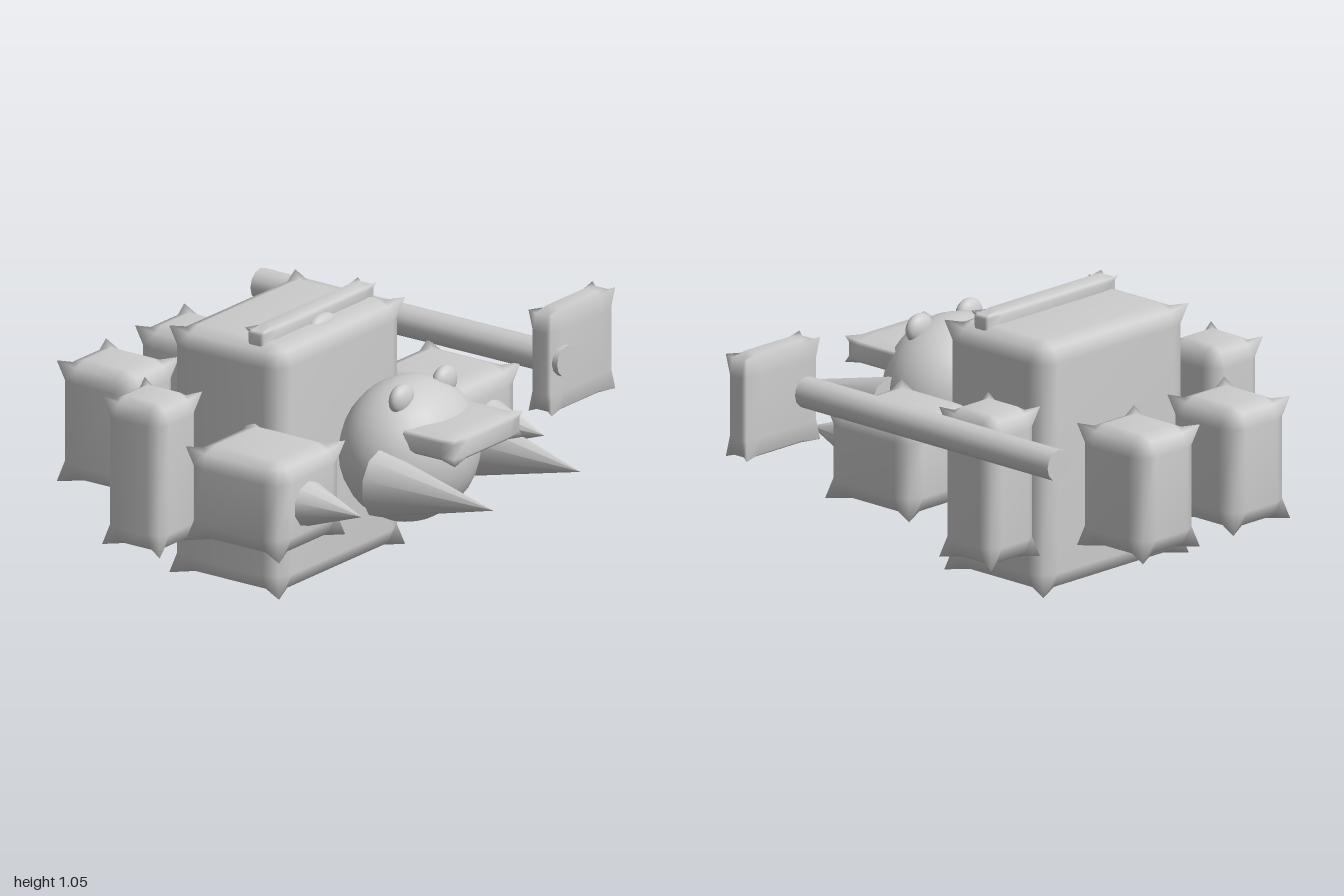
import * as THREE from 'three';
import { mergeVertices } from 'three/addons/utils/BufferGeometryUtils.js';

const grey = new THREE.MeshStandardMaterial({ color: 0xcccccc });
grey.name = 'grey';

// Block with softened edges, pointed corners and smooth shading
function pillowBox(w, h, d) {
  let g = new THREE.BoxGeometry(w, h, d, 3, 3, 3);
  g.deleteAttribute('uv');
  g.deleteAttribute('normal');
  g = mergeVertices(g, 1e-4);
  const half = [w / 2, h / 2, d / 2];
  const small = Math.min(w, h, d);
  const bevel = Math.min(0.022, small * 0.1);
  const pos = g.attributes.position;
  for (let i = 0; i < pos.count; i++) {
    const p = [pos.getX(i), pos.getY(i), pos.getZ(i)];
    const outer = p.map((v, a) => Math.abs(v) > half[a] * 0.9);
    const isEdge = outer.filter(Boolean).length === 2;
    const q = p.map((v, a) => {
      const size = outer[a]
        ? half[a] - (isEdge ? bevel : 0)
        : half[a] - Math.min(0.08, half[a] * 0.45);
      return Math.sign(v) * size;
    });
    pos.setXYZ(i, ...q);
  }
  g.computeVertexNormals();
  return g;
}

export function createModel() {
  const model = new THREE.Group();
  model.name = 'creature';

  function add(name, geometry, x, y, z) {
    const mesh = new THREE.Mesh(geometry, grey);
    mesh.name = name;
    mesh.position.set(x, y, z);
    model.add(mesh);
    return mesh;
  }

  // Block given by its low and high limits on each axis
  function block(name, [x0, x1], [y0, y1], [z0, z1]) {
    return add(name, pillowBox(x1 - x0, y1 - y0, z1 - z0),
      (x0 + x1) / 2, (y0 + y1) / 2, (z0 + z1) / 2);
  }

  function ball(name, x, y, z, rx, ry, rz) {
    add(name, new THREE.SphereGeometry(1, 24, 16), x, y, z).scale.set(rx, ry, rz);
  }

  // Forward-pointing cone
  function spike(name, x, y, zBase, zTip, rx, ry, lean = 0) {
    const g = new THREE.ConeGeometry(1, zTip - zBase, 10, 1);
    g.rotateX(Math.PI / 2);
    g.scale(rx, ry, 1);
    const pos = g.attributes.position;
    for (let i = 0; i < pos.count; i++) {
      if (pos.getZ(i) > 0) pos.setX(i, pos.getX(i) + lean);
    }
    add(name, g, x, y, (zBase + zTip) / 2);
  }

  // Body and ridge on top
  block('body', [-0.585, 0.215], [0, 1], [-0.465, 0.06]);
  block('ridge', [-0.54, 0.175], [0.96, 1.05], [-0.135, -0.045]);
  ball('ridgeKnob', -0.18, 0.985, -0.04, 0.075, 0.04, 0.035);

  // Head and bill
  ball('head', -0.185, 0.575, 0.385, 0.305, 0.285, 0.255);
  block('bill', [-0.4, 0.035], [0.635, 0.74], [0.45, 0.76]);

  // Mirrored parts sit either side of the body's centre line
  const mid = -0.183;
  for (const [side, s] of [['left', 1], ['right', -1]]) {
    const span = (a, b) => [mid + s * a, mid + s * b].sort((m, n) => m - n);
    ball(side + 'Eye', mid + s * 0.137, 0.82, 0.445, 0.065, 0.06, 0.037);
    spike(side + 'Tusk', mid + s * 0.292, 0.525, 0.455, 0.99, 0.11, 0.135, -s * 0.016);
    block(side + 'Arm', span(0.348, 0.768), [0.31, 0.69], [-0.11, 0.335]);
    spike(side + 'Claw', mid + s * 0.58, 0.5, 0.33, 0.59, 0.092, 0.092);
    block(side + 'MiddleLeg', span(0.478, 0.748), [0.2, 0.8], [-0.525, -0.25]);
    block(side + 'RearLeg', span(0.092, 0.405), [0.255, 0.745], [-1, -0.65]);
  }

  // Hammer: long shaft and flat head
  const shaft = new THREE.CylinderGeometry(0.062, 0.062, 1.465, 12);
  shaft.rotateX(Math.PI / 2);
  add('hammerShaft', shaft, 0.617, 0.727, -0.202);
  block('hammerHead', [0.54, 0.945], [0.52, 0.93], [0.405, 0.515]);

  return model;
}
